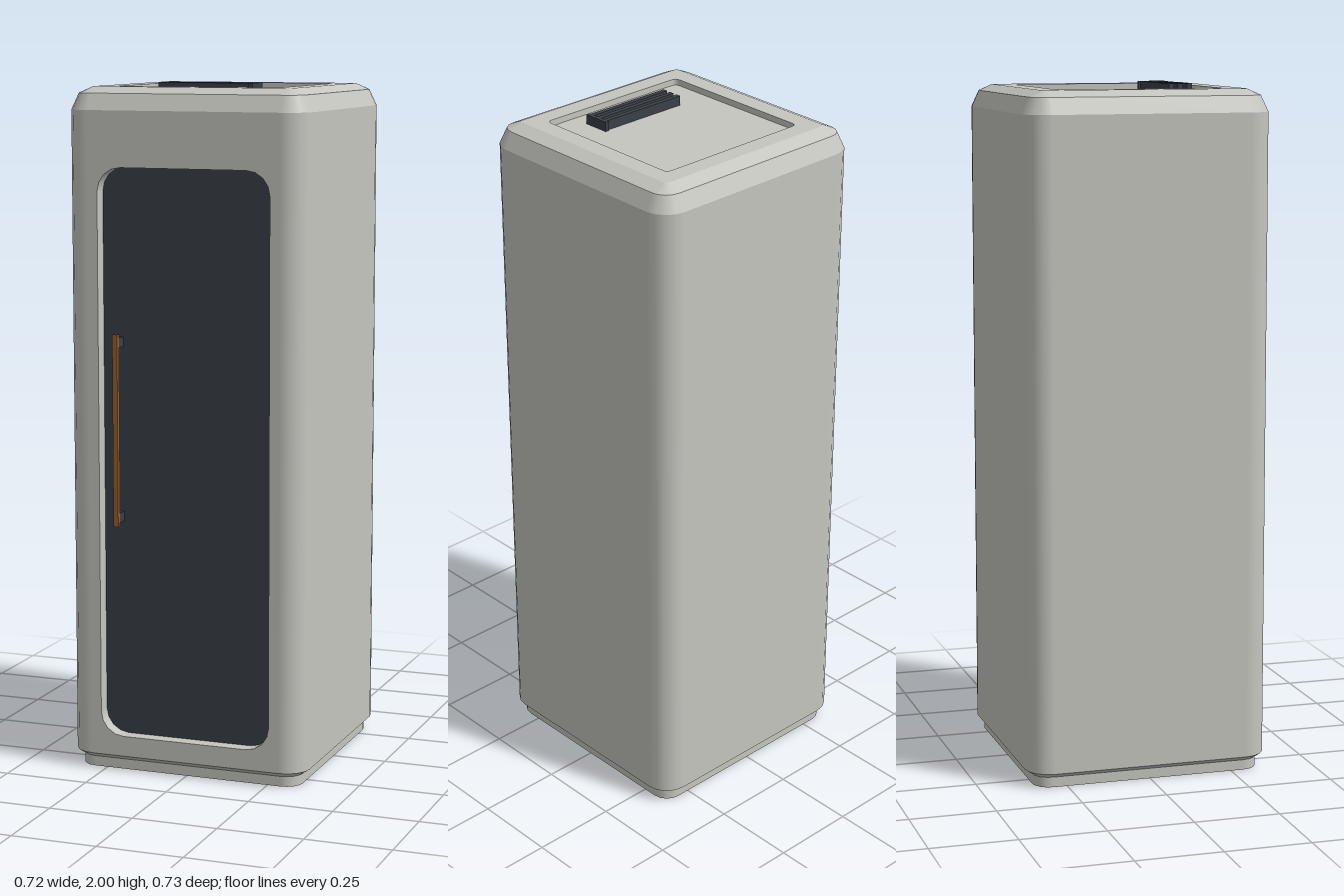
import * as THREE from 'three';

const SEG = 4; // segments per rounded corner

// Rounded rectangle outline: points with their outward directions
function outline(hx, hz, r) {
  const pts = [];
  for (let k = 0; k < 4; k++) {
    const sx = k === 0 || k === 3 ? 1 : -1;
    const sz = k < 2 ? 1 : -1;
    for (let i = 0; i <= SEG; i++) {
      const a = (k + i / SEG) * Math.PI / 2;
      const nx = Math.cos(a), nz = Math.sin(a);
      pts.push({ x: sx * (hx - r) + r * nx, z: sz * (hz - r) + r * nz, nx, nz });
    }
  }
  return pts;
}

// Wall between two outlines; running from high to low turns it inward
function band(lo, y0, hi, y1, skip = -1) {
  const pos = [], nor = [], idx = [], n = lo.length;
  const dy = y1 - y0;
  const inset = lo[0].x - hi[0].x;
  for (let i = 0; i < n; i++) {
    const v = new THREE.Vector3(lo[i].nx * dy, inset, lo[i].nz * dy).normalize();
    pos.push(lo[i].x, y0, lo[i].z, hi[i].x, y1, hi[i].z);
    nor.push(v.x, v.y, v.z, v.x, v.y, v.z);
    if (i === skip) continue;
    const a = 2 * i, d = 2 * ((i + 1) % n);
    idx.push(a, a + 1, d + 1, a, d + 1, d);
  }
  const g = new THREE.BufferGeometry();
  g.setAttribute('position', new THREE.Float32BufferAttribute(pos, 3));
  g.setAttribute('normal', new THREE.Float32BufferAttribute(nor, 3));
  g.setIndex(idx);
  return g;
}

// Flat rounded plate facing +z, with an optional hole shifted in y
function plate(pts, hole, holeY = 0) {
  const s = new THREE.Shape(pts.map(p => new THREE.Vector2(p.x, p.z)));
  if (hole) s.holes.push(new THREE.Path(hole.map(p => new THREE.Vector2(p.x, p.z + holeY))));
  return new THREE.ShapeGeometry(s);
}

export function createModel() {
  const model = new THREE.Group();
  model.name = 'cabinet';
  const material = (name, color) => {
    const m = new THREE.MeshStandardMaterial({ color });
    m.name = name;
    return m;
  };
  const shellGrey = material('warm grey', 0xc6c6c0);
  const dark = material('dark slate', 0x3a4048);
  const copper = material('copper', 0x96602f);

  const add = (name, geo, mat, x = 0, y = 0, z = 0, parent = model) => {
    const m = new THREE.Mesh(geo, mat);
    m.name = name;
    m.position.set(x, y, z);
    parent.add(m);
    return m;
  };
  const box = (name, mat, x0, x1, y0, y1, z0, z1, parent) =>
    add(name, new THREE.BoxGeometry(x1 - x0, y1 - y0, z1 - z0), mat,
      (x0 + x1) / 2, (y0 + y1) / 2, (z0 + z1) / 2, parent);

  const core = 0.29; // half-length of the straight part of each side
  const square = h => outline(h, h, h - core);
  const body = new THREE.Group();
  body.name = 'body';
  body.position.z = -0.002;
  model.add(body);

  // Shell: plinth, lower chamfer, walls (front left open), two top bevels
  const levels = [
    ['plinth', 0.34, 0, 0.34, 0.03],
    ['lowerChamfer', 0.34, 0.03, 0.362, 0.045],
    ['walls', 0.362, 0.045, 0.362, 1.925],
    ['upperBevel', 0.362, 1.925, 0.34, 1.972],
    ['topBevel', 0.34, 1.972, 0.3, 1.99],
  ];
  for (const [name, h0, y0, h1, y1] of levels) {
    add(name, band(square(h0), y0, square(h1), y1, name === 'walls' ? SEG : -1), shellGrey, 0, 0, 0, body);
  }
  add('underside', plate(square(0.34)).rotateX(Math.PI / 2), shellGrey, 0, 0, 0, body);

  // Front frame with the recessed door
  const opening = outline(0.26, 0.83, 0.07);
  const openY = 0.935, faceZ = 0.362, doorZ = 0.32;
  add('frontFrame', plate(outline(core, 0.94, 0.0001), opening, openY - 0.985), shellGrey, 0, 0.985, faceZ, body);
  add('doorReveal', band(opening, faceZ, opening, doorZ).rotateX(Math.PI / 2), shellGrey, 0, openY, 0, body);
  add('door', plate(opening), dark, 0, openY, doorZ, body);

  // Top rim with the sunken lid
  const lid = outline(0.245, 0.245, 0.015);
  const lidY = 1.972;
  add('topRim', plate(square(0.3), lid).rotateX(-Math.PI / 2), shellGrey, 0, 1.99, 0, body);
  add('lidReveal', band(lid, 1.99, lid, lidY), shellGrey, 0, 0, 0, body);
  add('lid', plate(lid).rotateX(-Math.PI / 2), shellGrey, 0, lidY, 0, body);

  // Vent grille: three slats and an end bar
  const vent = new THREE.Group();
  vent.name = 'vent';
  model.add(vent);
  for (const z of [0.122, 0.149, 0.177]) {
    box('ventSlat', dark, -0.142, 0.136, lidY, 2, z - 0.0075, z + 0.0075, vent);
  }
  box('ventEndBar', dark, 0.135, 0.147, lidY, 2, 0.109, 0.19, vent);

  // Door handle on two standoffs
  const handle = new THREE.Group();
  handle.name = 'handle';
  model.add(handle);
  box('handleBar', copper, -0.215, -0.2, 0.73, 1.29, 0.35, 0.364, handle);
  for (const y of [0.755, 1.265]) {
    box('handleStandoff', dark, -0.218, -0.2, y - 0.014, y + 0.014, 0.318, 0.351, handle);
  }
  return model;
}
